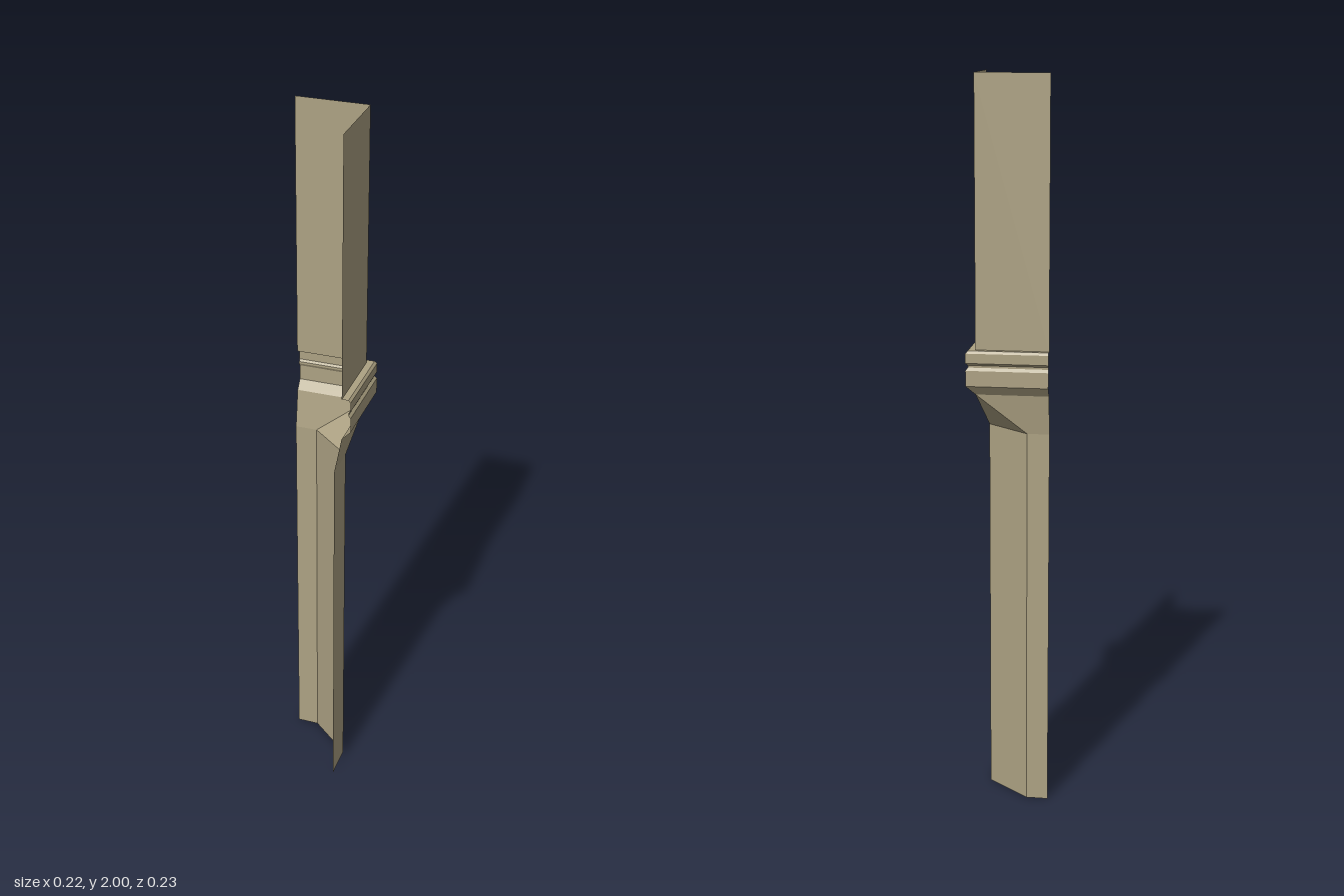
import * as THREE from 'three';

const END_X = -0.11, END_Z = 0.1135; // open ends of the two walls

// One level of the corner: wall planes at x and z, optionally with a chamfered corner
function ring(y, x, z, chamfer = false) {
  const a = chamfer ? [-0.05, z] : [x, z];
  const b = chamfer ? [x, 0.018] : [x, z];
  return [[END_X, z], a, b, [x, END_Z]].map(([px, pz]) => new THREE.Vector3(px, y, pz));
}

// Skin stacked rings with flat faces, skipping collapsed triangles
function skin(name, rings, material) {
  const points = [];
  const addTriangle = (a, b, c) => {
    if (new THREE.Triangle(a, b, c).getArea() > 1e-8) points.push(a, b, c);
  };
  for (let i = 0; i < rings.length - 1; i++) {
    for (let j = 0; j < 3; j++) {
      const a = rings[i][j], b = rings[i][j + 1];
      const c = rings[i + 1][j + 1], d = rings[i + 1][j];
      addTriangle(a, c, b);
      addTriangle(a, d, c);
    }
  }
  const geometry = new THREE.BufferGeometry().setFromPoints(points);
  geometry.computeVertexNormals();
  const mesh = new THREE.Mesh(geometry, material);
  mesh.name = name;
  return mesh;
}

export function createModel() {
  const stone = new THREE.MeshStandardMaterial({ color: 0xada283, side: THREE.DoubleSide });
  stone.name = 'sandstone';
  const model = new THREE.Group();
  model.name = 'cornerPilaster';

  // Chamfered lower shaft, its corner returning to a point at the top
  const neck = [0.086, -0.095];
  model.add(skin('lowerShaft', [
    ring(0, 0.066, -0.079, true),
    ring(1.06, 0.066, -0.079, true),
    ring(1.167, ...neck),
  ], stone));

  // Double band moulding with a groove between
  const profile = [
    [1.167, 0], [1.192, 1], [1.234, 1], [1.242, 0.75],
    [1.248, 0.75], [1.254, 1], [1.28, 1], [1.287, 0.75], [1.287, 0],
  ];
  model.add(skin('bandMoulding', profile.map(([y, t]) =>
    ring(y, neck[0] + 0.024 * t, neck[1] - 0.0185 * t)), stone));

  // Square upper shaft
  model.add(skin('upperShaft', [ring(1.287, ...neck), ring(2, ...neck)], stone));
  return model;
}
